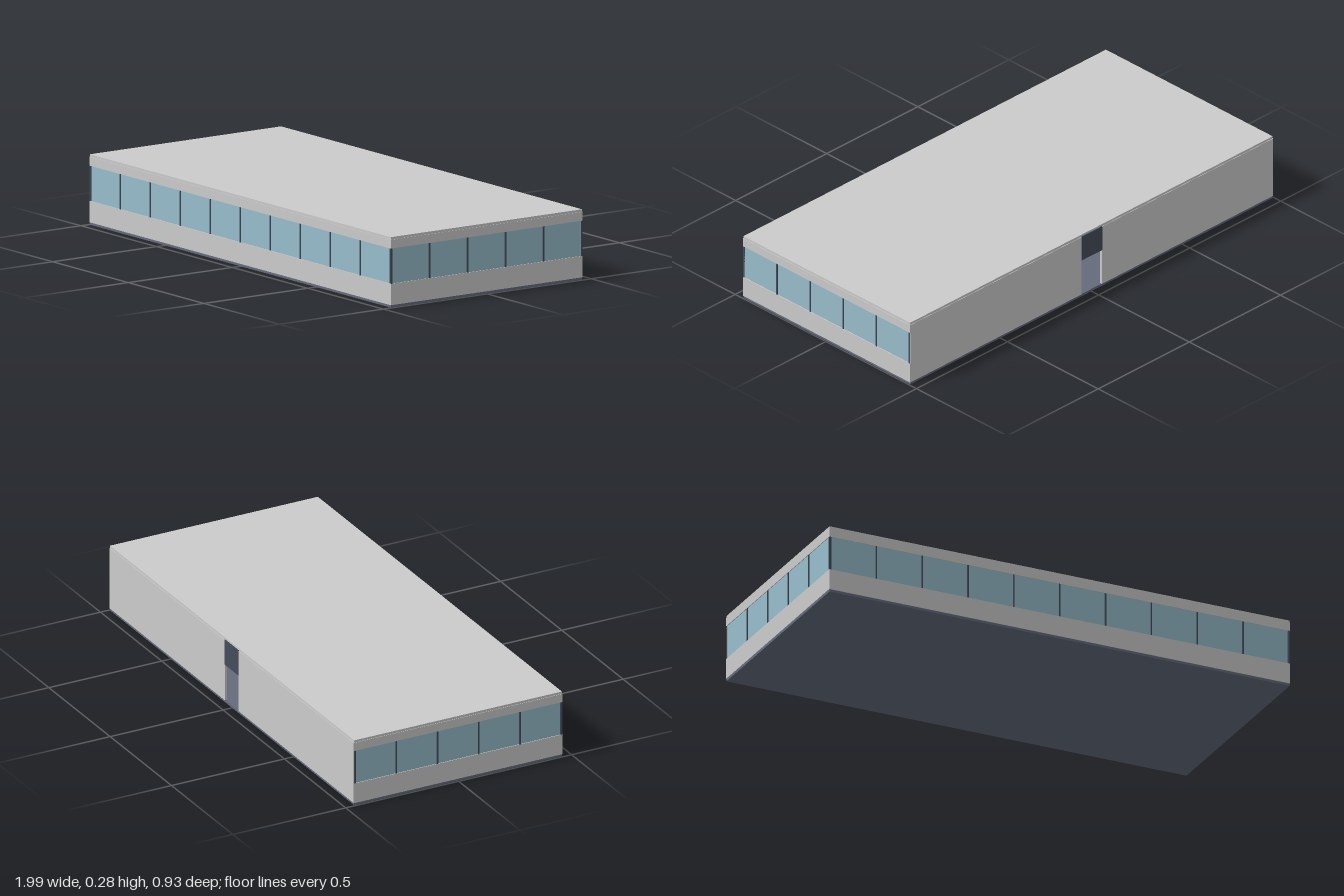
import * as THREE from 'three';

const X = 0.995, Z = 0.462, T = 0.01;      // half length, half depth, wall thickness
const FLOOR = 0.01, SILL = 0.095, HEAD = 0.235, EAVE = 0.27, ROOF = 0.28;
const DOOR = 0.056, DOOR_TOP = 0.165;

const mat = (color) => new THREE.MeshStandardMaterial({ color });
const grey = mat(0xcccccc), glass = mat(0x98bdcc), dark = mat(0x646b7c),
  frame = mat(0x444c5c), red = mat(0xc84a58);

export function createModel() {
  const model = new THREE.Group();

  // Box given by its minimum and maximum on each axis
  function box(name, x0, x1, y0, y1, z0, z1, material, parent = model) {
    const mesh = new THREE.Mesh(new THREE.BoxGeometry(x1 - x0, y1 - y0, z1 - z0), material);
    mesh.position.set((x0 + x1) / 2, (y0 + y1) / 2, (z0 + z1) / 2);
    mesh.name = name;
    parent.add(mesh);
  }

  // Floor and roof slabs
  box('floorSlab', -X, X, 0, FLOOR, -0.46, 0.46, dark);
  box('roofSlab', -X, X, EAVE, ROOF, -0.46, 0.46, grey);

  // Wall with a continuous ribbon of windows, facing +z before it is turned
  function windowWall(name, half, distance, count, turn) {
    const wall = new THREE.Group();
    wall.name = name;
    const inner = distance - T;
    box('sillBand', -half, half, FLOOR, SILL, inner, distance, grey, wall);
    box('headBand', -half, half, HEAD, EAVE, inner, distance, grey, wall);
    const span = half - 0.004, pitch = 2 * span / count;
    for (let i = 0; i < count; i++) {
      const left = -span + i * pitch;
      box('windowPane', left, left + pitch, SILL, HEAD, inner + 0.002, distance - 0.003, glass, wall);
    }
    for (let i = 0; i <= count; i++) {
      const x = -span + i * pitch;
      box('mullion', x - 0.003, x + 0.003, SILL, HEAD, inner, distance, frame, wall);
    }
    wall.rotation.y = turn;
    model.add(wall);
  }
  windowWall('frontWall', X, Z, 10, 0);
  windowWall('leftWall', Z - 0.001, X + 0.002, 5, Math.PI / 2);
  windowWall('rightWall', Z - 0.001, X + 0.002, 5, -Math.PI / 2);

  // Solid back wall, split by the entrance
  box('backWallRight', -X, -DOOR, FLOOR, EAVE, -Z, -Z + T, grey);
  box('backWallLeft', DOOR, X, FLOOR, EAVE, -Z, -Z + T, grey);

  // Entrance: dark panel over an open doorway, with a red soffit behind it
  box('entrancePanel', -DOOR, DOOR, DOOR_TOP, EAVE + 0.002, -Z - 0.002, -Z + T, frame);
  box('entranceSoffit', -DOOR, DOOR, DOOR_TOP, DOOR_TOP + 0.005, -Z + T, -Z + 0.07, red);

  return model;
}
